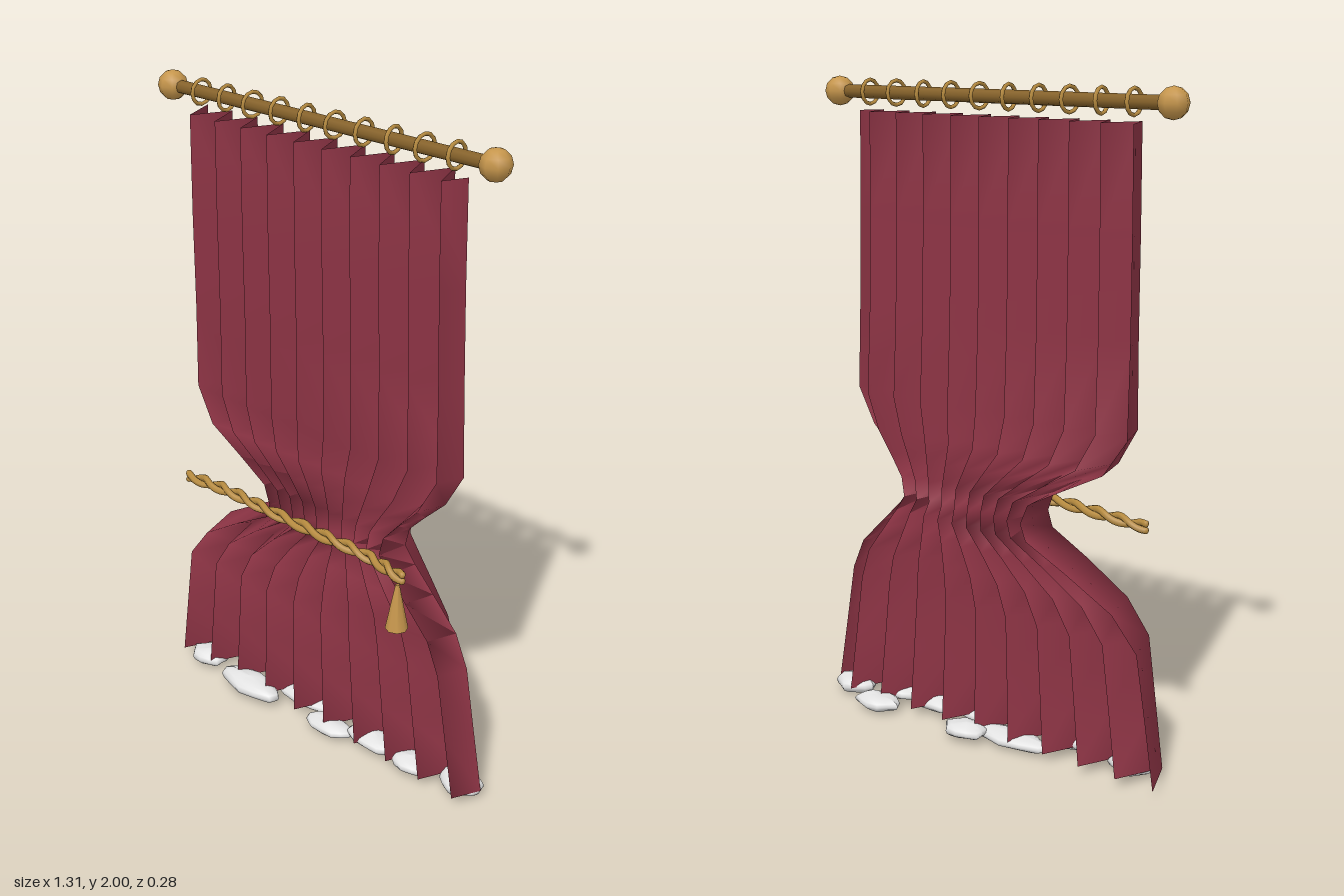
import * as THREE from 'three';

const mat = (name, color, extra = {}) => {
  const m = new THREE.MeshStandardMaterial({ color, ...extra });
  m.name = name;
  return m;
};

export function createModel() {
  const group = new THREE.Group();
  const red = mat('red cloth', 0x8e3445, { side: THREE.DoubleSide });
  const gold = mat('gold', 0xc6964c);
  const darkGold = mat('dark gold', 0x86622a);
  const ropeGold = mat('rope gold', 0xb88c40);
  const white = mat('white trim', 0xe2e2e2);

  const add = (name, geo, material, x = 0, y = 0, z = 0) => {
    const mesh = new THREE.Mesh(geo, material);
    mesh.name = name;
    mesh.position.set(x, y, z);
    group.add(mesh);
    return mesh;
  };

  // Rod, finials and slightly skewed rings
  const rodY = 1.955;
  add('rod', new THREE.CylinderGeometry(0.02, 0.02, 1.2, 8), darkGold, 0, rodY).rotation.z = Math.PI / 2;
  for (const s of [-1, 1]) add('finial', new THREE.SphereGeometry(0.045, 8, 6), gold, s * 0.61, rodY);
  for (let i = 0; i < 10; i++) {
    const ring = add('ring', new THREE.TorusGeometry(0.036, 0.006, 6, 12), ropeGold, -0.485 + i * 0.1075, rodY);
    ring.rotation.y = Math.PI / 2 + 0.12 * Math.sin(i * 2.1);
  }

  // Pleated curtain: zigzag rows of [y, left x, right x, z centre, pleat depth]
  const rows = [
    [1.9, -0.525, 0.515, 0, 0.06],
    [1.6, -0.528, 0.52, 0, 0.06],
    [1.3, -0.532, 0.525, -0.005, 0.06],
    [1.04, -0.535, 0.53, -0.01, 0.066],
    [0.93, -0.46, 0.465, -0.012, 0.074],
    [0.86, -0.32, 0.39, -0.014, 0.078],
    [0.8, -0.205, 0.33, -0.015, 0.082],
    [0.74, -0.18, 0.315, -0.015, 0.084],
    [0.69, -0.2, 0.355, -0.015, 0.084],
    [0.62, -0.34, 0.43, -0.012, 0.082],
    [0.53, -0.5, 0.525, -0.008, 0.078],
    [0.43, -0.585, 0.572, -0.006, 0.076],
    [0.23, -0.618, 0.608, -0.006, 0.075],
    [0.03, -0.65, 0.645, -0.006, 0.075],
  ];
  // Starts on a back fold at the left; the last pleat is cut short at the right
  const pleats = 9.8, cols = Math.ceil(pleats * 2);
  const pos = [], index = [];
  rows.forEach(([y, left, right, zc, depth], r) => {
    for (let c = 0; c <= cols; c++) {
      const u = Math.min(c / 2, pleats);
      const fold = 1 - 4 * Math.abs((u % 1) - 0.5);
      pos.push(left + (right - left) * (u / pleats), y, zc + depth * fold);
      if (r && c) {
        const d = r * (cols + 1) + c, b = d - cols - 1;
        index.push(b - 1, d - 1, d, b - 1, d, b);
      }
    }
  });
  const cloth = new THREE.BufferGeometry();
  cloth.setAttribute('position', new THREE.Float32BufferAttribute(pos, 3));
  cloth.setIndex(index);
  cloth.computeVertexNormals();
  add('curtain', cloth, red);

  // Twisted tie rope made of two strands
  const path = new THREE.CatmullRomCurve3([
    [-0.48, 0.74, 0.108], [-0.3, 0.752, 0.108], [-0.1, 0.757, 0.118],
    [0.1, 0.747, 0.105], [0.28, 0.735, 0.09], [0.41, 0.717, 0.09],
  ].map(p => new THREE.Vector3(...p)));
  for (const start of [0, Math.PI]) {
    const pts = [];
    for (let i = 0; i <= 80; i++) {
      const a = start + (i / 80) * Math.PI * 11;
      const p = path.getPoint(i / 80);
      pts.push(p.add(new THREE.Vector3(0, Math.cos(a) * 0.01, Math.sin(a) * 0.012)));
    }
    add('ropeStrand', new THREE.TubeGeometry(new THREE.CatmullRomCurve3(pts), 120, 0.011, 6), ropeGold);
    for (const end of [pts[0], pts[80]]) {
      add('ropeEnd', new THREE.SphereGeometry(0.011, 6, 4), ropeGold, end.x, end.y, end.z);
    }
  }
  add('tassel', new THREE.CylinderGeometry(0.006, 0.034, 0.145, 8), gold, 0.4, 0.622, 0.098);

  // Lumpy trim tufts along the hem: [x, z, half width, half depth, half height]
  const tufts = [
    [-0.49, 0.035, 0.068, 0.05, 0.028], [-0.26, 0.065, 0.13, 0.055, 0.029],
    [-0.09, -0.03, 0.15, 0.055, 0.022], [0.04, -0.085, 0.075, 0.055, 0.024],
    [0.08, 0.045, 0.09, 0.045, 0.022], [0.24, 0.01, 0.1, 0.05, 0.024],
    [0.41, -0.09, 0.08, 0.055, 0.025], [0.4, 0.015, 0.075, 0.05, 0.024],
    [0.57, -0.02, 0.075, 0.06, 0.028],
  ];
  tufts.forEach(([x, z, w, d, h], i) => {
    const geo = new THREE.SphereGeometry(1, 12, 8);
    const p = geo.attributes.position;
    for (let k = 0; k < p.count; k++) {
      const v = new THREE.Vector3().fromBufferAttribute(p, k);
      const lump = 1 + 0.12 * Math.sin(v.x * 5 + i) * Math.cos(v.z * 4 + i * 2);
      p.setXYZ(k, v.x * w * lump, v.y * h * lump, v.z * d * lump);
    }
    geo.computeVertexNormals();
    geo.computeBoundingBox();
    add('hemTuft', geo, white, x, 0.006 * (i % 2) - geo.boundingBox.min.y, z);
  });
  return group;
}
